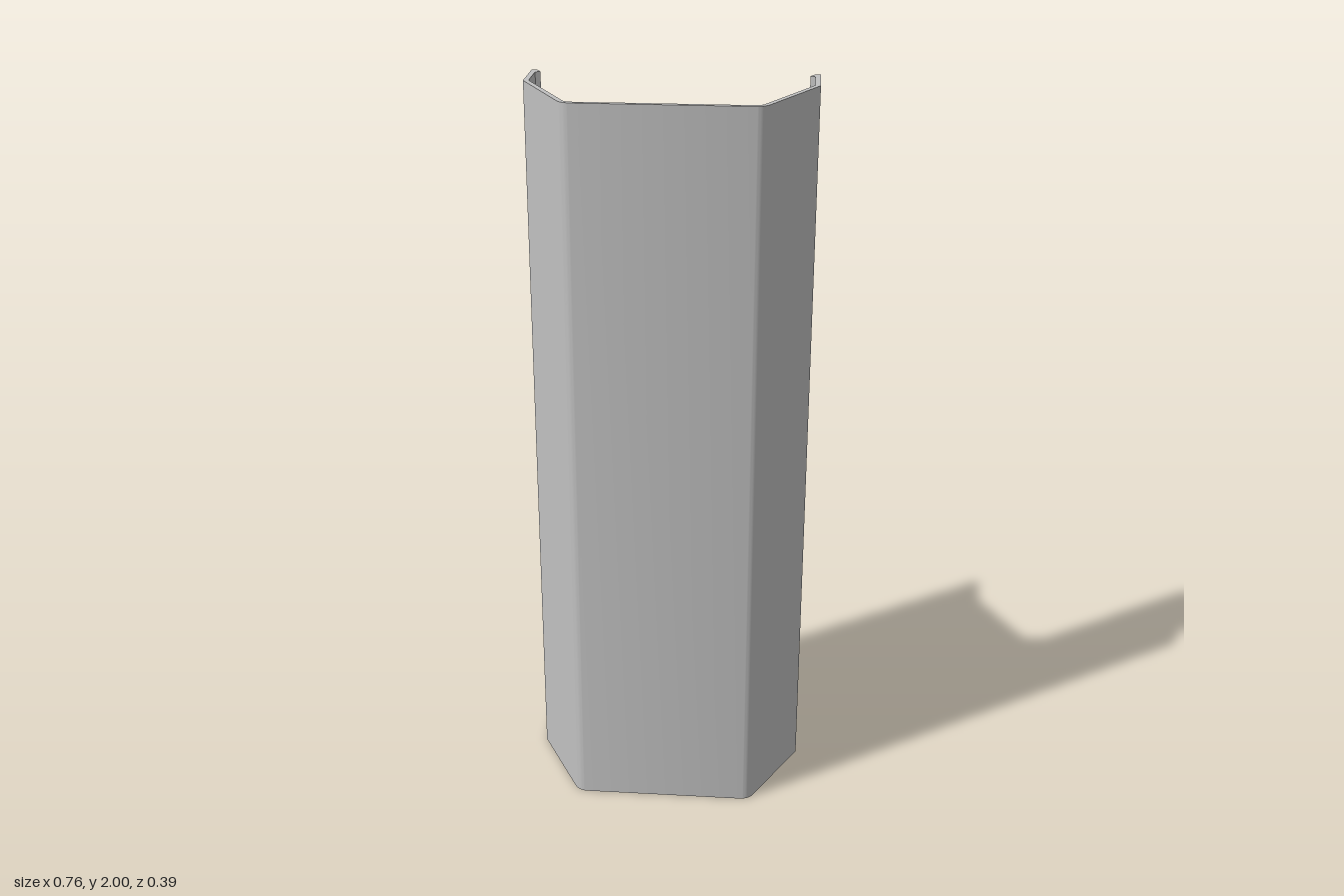
import * as THREE from 'three';
import { toCreasedNormals } from 'three/addons/utils/BufferGeometryUtils.js';

const HEIGHT = 2;
const THICKNESS = 0.014;
const BEND = { x: 0.221, z: 0.152, radius: 0.042, angle: 0.487 };

// Points of a rounded corner, from the front panel round to the slanted side
function cornerArc(radius, steps = 12) {
  return Array.from({ length: steps + 1 }, (_, i) => {
    const a = THREE.MathUtils.lerp(Math.PI / 2, BEND.angle, i / steps);
    return [BEND.x + radius * Math.cos(a), BEND.z + radius * Math.sin(a)];
  });
}

// Half of the channel's cross-section as [x, z], outside first, then back along the inside
function halfProfile() {
  return [
    ...cornerArc(BEND.radius),
    [0.378, -0.056],
    [0.378, -0.194],
    // Snap-in hook along the free edge
    [0.363, -0.194],
    [0.351, -0.17],
    [0.364, -0.163],
    [0.364, -0.0595],
    ...cornerArc(BEND.radius - THICKNESS).reverse(),
  ];
}

export function createModel() {
  const group = new THREE.Group();
  group.name = 'coverChannel';

  const grey = new THREE.MeshStandardMaterial({ color: 0xc0c0c0 });
  grey.name = 'grey';

  // Mirror the half section; shape y is -z so that the extrusion can be stood upright
  const right = halfProfile();
  const left = right.map(([x, z]) => [-x, z]).reverse();
  const section = new THREE.Shape(
    [...right, ...left].map(([x, z]) => new THREE.Vector2(x, -z))
  );

  const extruded = new THREE.ExtrudeGeometry(section, { depth: HEIGHT, bevelEnabled: false });
  extruded.rotateX(-Math.PI / 2);

  // Smooth round corners, sharp folds and ends
  const channel = new THREE.Mesh(toCreasedNormals(extruded, 0.3), grey);
  channel.name = 'channel';
  group.add(channel);

  return group;
}
